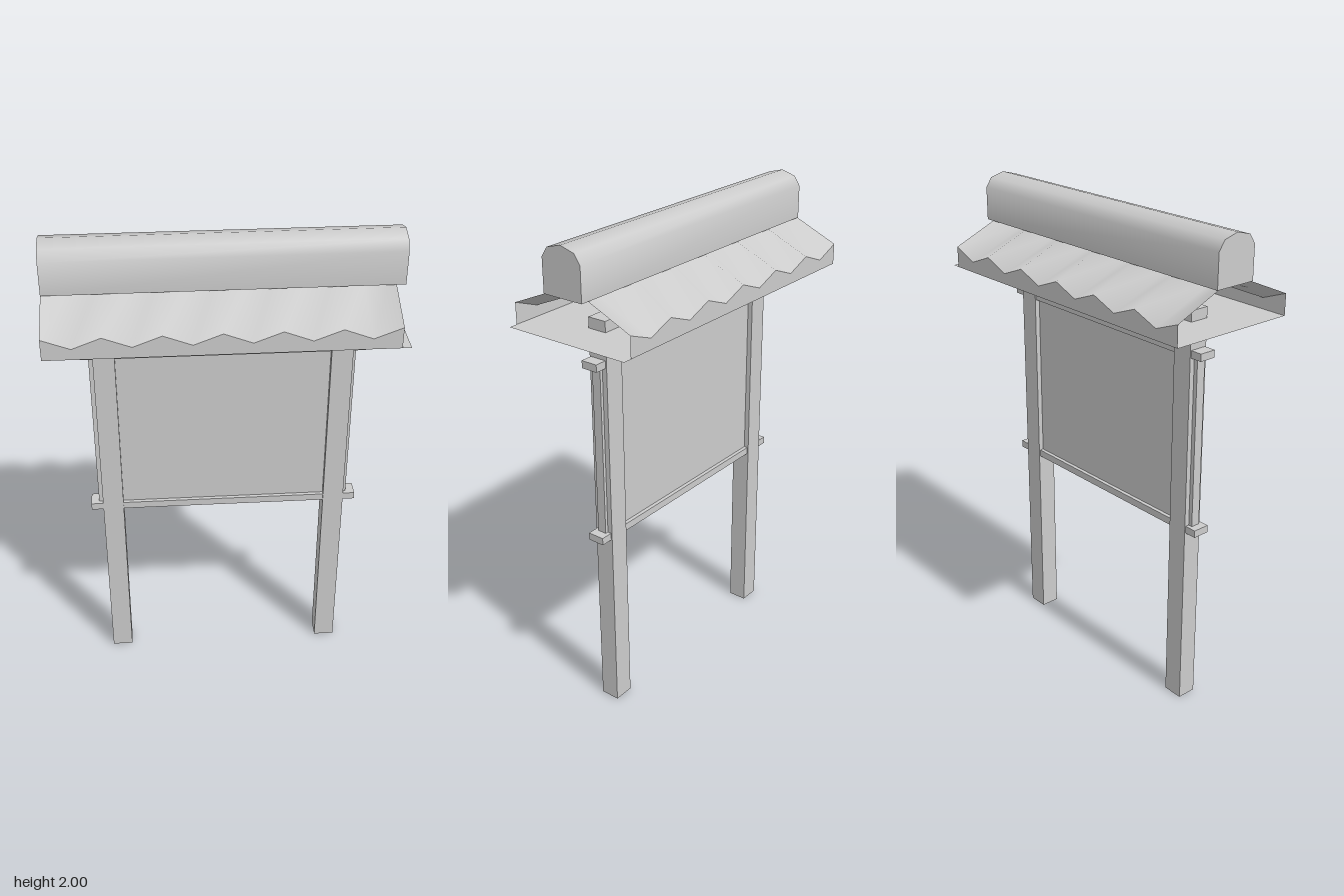
import * as THREE from 'three';
import { toCreasedNormals } from 'three/addons/utils/BufferGeometryUtils.js';

const solid = new THREE.MeshStandardMaterial({ color: 0xcccccc });
const sheet = new THREE.MeshStandardMaterial({ color: 0xcccccc, side: THREE.DoubleSide });

const ROOF_LENGTH = 1.315, ROOF_X = -0.0175, EAVE_Z = 0.27, SOFFIT_Y = 1.645;
const FOLDS = 12; // half waves along the roof, crests at both ends

function add(parent, name, geometry, material = solid) {
  const mesh = new THREE.Mesh(geometry, material);
  mesh.name = name;
  parent.add(mesh);
  return mesh;
}

function box(parent, name, w, h, d, x, y, z = 0) {
  const mesh = add(parent, name, new THREE.BoxGeometry(w, h, d));
  mesh.position.set(x, y, z);
  return mesh;
}

// One corrugated roof slope with its zigzag-topped fascia, facing +z
function createSlope(name) {
  const slope = new THREE.Group();
  slope.name = name;

  const tiles = new THREE.PlaneGeometry(ROOF_LENGTH, 1, FOLDS, 1);
  const p = tiles.attributes.position;
  for (let i = 0; i < p.count; i++) {
    const column = i % (FOLDS + 1);
    const crest = column % 2 === 0;
    const atRidge = i <= FOLDS;
    const y = atRidge ? (crest ? 1.847 : 1.803) : (crest ? 1.73 : 1.688);
    p.setXYZ(i, p.getX(i), y, atRidge ? 0 : EAVE_Z);
  }
  tiles.computeVertexNormals();
  add(slope, 'corrugatedSlope', tiles, sheet);

  const outline = new THREE.Shape();
  outline.moveTo(-ROOF_LENGTH / 2, SOFFIT_Y);
  outline.lineTo(ROOF_LENGTH / 2, SOFFIT_Y);
  for (let i = FOLDS; i >= 0; i--) {
    outline.lineTo((i / FOLDS - 0.5) * ROOF_LENGTH, i % 2 ? 1.688 : 1.73);
  }
  add(slope, 'eaveFascia', new THREE.ShapeGeometry(outline), sheet).position.z = EAVE_Z;
  slope.position.x = ROOF_X;
  return slope;
}

export function createModel() {
  const model = new THREE.Group();
  model.name = 'noticeBoard';

  // Posts
  for (const side of [1, -1]) {
    box(model, side > 0 ? 'leftPost' : 'rightPost', 0.085, 1.688, 0.08, side * 0.464, 0.844);
  }

  // Board held between two rails
  box(model, 'boardPanel', 1.043, 0.7, 0.038, -0.002, 1.158);
  box(model, 'topRail', 1.112, 0.03, 0.07, 0, 1.521);
  box(model, 'bottomRail', 1.112, 0.03, 0.07, 0, 0.795);

  // Roof: two slopes over a flat soffit, open at both ends
  const roof = new THREE.Group();
  roof.name = 'roof';
  model.add(roof);
  const back = createSlope('backSlope');
  back.rotation.y = Math.PI;
  roof.add(createSlope('frontSlope'), back);
  const soffit = add(roof, 'soffit', new THREE.PlaneGeometry(1.35, EAVE_Z * 2), sheet);
  soffit.rotation.x = Math.PI / 2;
  soffit.position.y = SOFFIT_Y;

  // Rounded ridge cap
  const profile = new THREE.Shape([
    [-0.088, 1.811], [0.088, 1.811], [0.088, 1.945], [0.062, 1.983],
    [0, 2], [-0.062, 1.983], [-0.088, 1.945],
  ].map(([z, y]) => new THREE.Vector2(z, y)));
  const ridge = new THREE.ExtrudeGeometry(profile, { depth: 1.35, bevelEnabled: false });
  ridge.translate(0, 0, -0.675);
  ridge.rotateY(Math.PI / 2);
  add(roof, 'ridgeCap', toCreasedNormals(ridge, 0.8));

  return model;
}
